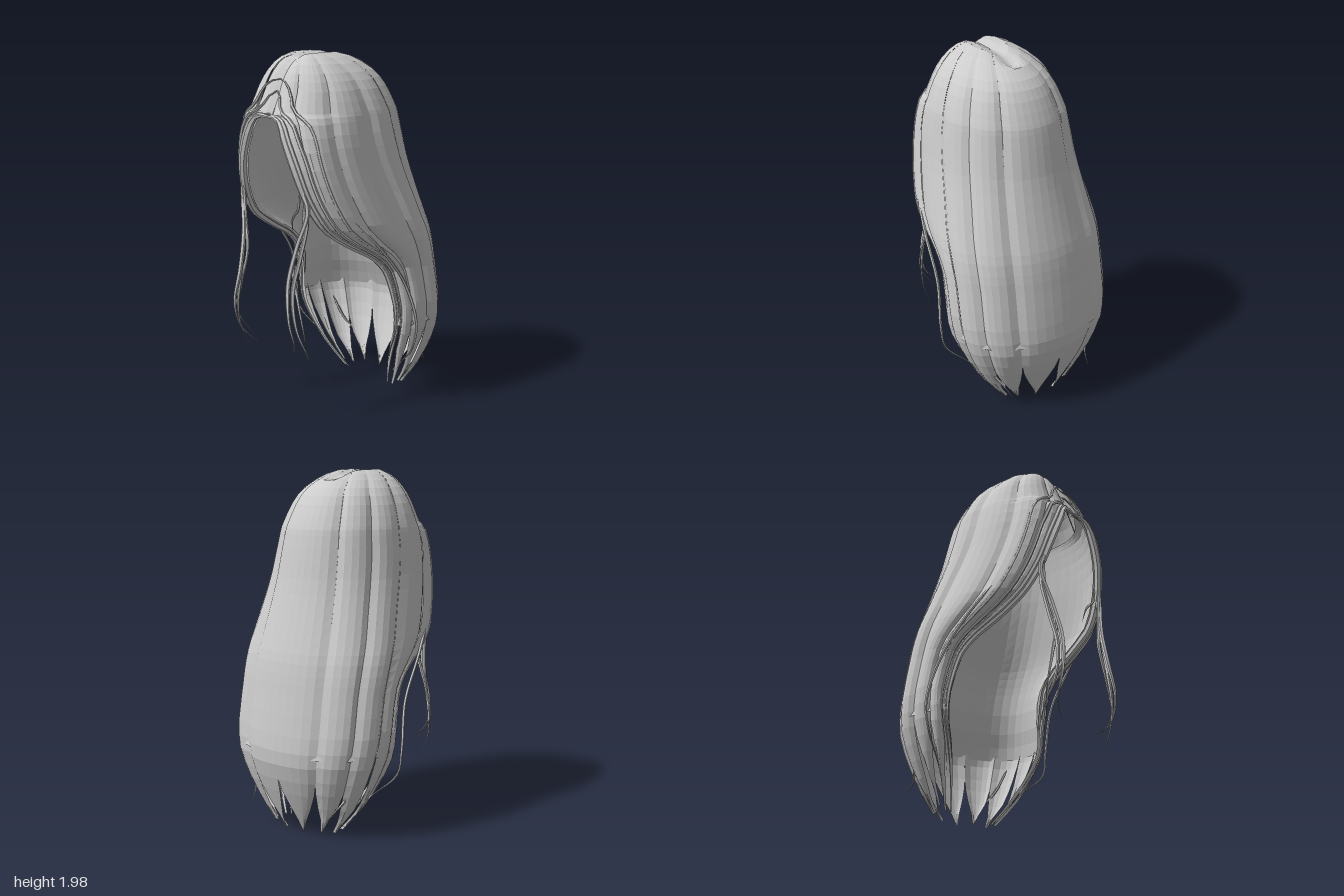
import * as THREE from 'three';

// Horizontal half-sections from crown to tips: y, front edge x, front edge z, half width, z at the widest point, back z
const SECTIONS = [
  [2.0, 0, 0.27, 0, 0.22, 0.14],
  [1.995, 0, 0.3, 0.085, 0.2, 0.03],
  [1.95, 0, 0.36, 0.185, 0.17, -0.09],
  [1.88, 0, 0.41, 0.262, 0.13, -0.2],
  [1.8, 0, 0.445, 0.312, 0.11, -0.26],
  [1.7, 0, 0.49, 0.35, 0.09, -0.31],
  [1.66, 0.09, 0.505, 0.36, 0.08, -0.325],
  [1.55, 0.15, 0.515, 0.38, 0.07, -0.35],
  [1.4, 0.21, 0.5, 0.402, 0.03, -0.38],
  [1.25, 0.25, 0.46, 0.43, -0.03, -0.42],
  [1.1, 0.29, 0.38, 0.46, -0.09, -0.465],
  [1.0, 0.31, 0.25, 0.475, -0.14, -0.495],
  [0.9, 0.34, 0.08, 0.48, -0.18, -0.515],
  [0.8, 0.37, -0.01, 0.48, -0.21, -0.53],
  [0.6, 0.4, -0.06, 0.485, -0.25, -0.56],
  [0.45, 0.4, -0.07, 0.465, -0.27, -0.57],
  [0.3, 0.33, -0.1, 0.41, -0.28, -0.53],
  [0.15, 0.25, -0.16, 0.33, -0.28, -0.47],
  [0.01, 0.17, -0.24, 0.22, -0.29, -0.41],
];
const LAST = SECTIONS.length - 1;
const edgeCurve = new THREE.CatmullRomCurve3(
  SECTIONS.map(([y, x, z]) => new THREE.Vector3(x, y, z)), false, 'catmullrom', 0.4);
const girthCurve = new THREE.CatmullRomCurve3(
  SECTIONS.map((s) => new THREE.Vector3(s[3], s[4], s[5])), false, 'catmullrom', 0.4);

// Point on the left half: u runs from face edge to back centre, v from crown to tips
function surface(u, v, lift = 0) {
  const e = edgeCurve.getPoint(v / LAST), g = girthCurve.getPoint(v / LAST);
  const front = u < 0.45;
  const a = (front ? u / 0.45 : (u - 0.45) / 0.55) * Math.PI / 2;
  const s = Math.max(0, Math.sin(a)), c = Math.max(0, Math.cos(a));
  let x, z;
  if (front) {
    x = e.x + (g.x - e.x) * s ** 0.85;
    z = g.y + (e.z - g.y) * c ** 0.85;
  } else {
    x = g.x * c;
    z = g.y + (g.z - g.y) * s;
  }
  // centre parting dip
  const parting = e.y > 1.6 && z > -0.1 ? 0.035 * Math.exp(-((x / 0.05) ** 2)) : 0;
  const r = Math.hypot(x, z - g.y) || 1;
  const out = lift * Math.min(1, v / 4) / r;
  return new THREE.Vector3(Math.max(0, x + x * out), e.y - parting, z + (z - g.y) * out);
}

const hairMat = new THREE.MeshStandardMaterial({
  color: 0xcccccc, flatShading: true, side: THREE.DoubleSide });

// Grid of points from pointAt(i / rows, j / cols), mirrored by side
function sheetGeometry(rows, cols, side, pointAt) {
  const pos = [], idx = [];
  for (let i = 0; i <= rows; i++) {
    for (let j = 0; j <= cols; j++) {
      const p = pointAt(i / rows, j / cols);
      pos.push(p.x * side, p.y, p.z);
      if (i === rows || j === cols) continue;
      const a = i * (cols + 1) + j, b = a + cols + 1;
      if (side > 0) idx.push(a, b, b + 1, a, b + 1, a + 1);
      else idx.push(a, b + 1, b, a, a + 1, b + 1);
    }
  }
  const geo = new THREE.BufferGeometry();
  geo.setAttribute('position', new THREE.Float32BufferAttribute(pos, 3));
  geo.setIndex(idx);
  geo.computeVertexNormals();
  return geo;
}

// Broad lock with a rounded cross-section, tapering to a point
function lockGeometry({ from, to, taper, end, puff, lift }, side) {
  return sheetGeometry(32, 5, side, (t, s) => {
    const v = end * t;
    const width = 1 - Math.max(0, (v - taper) / (end - taper)) ** 1.3;
    const u = (from + to) / 2 + (s - 0.5) * (to - from) * width;
    const round = to === 1 && s > 0.5 ? 1 : Math.max(0, Math.sin(Math.PI * s)) ** 0.6;
    return surface(u, v, lift + puff * (round - 0.7));
  });
}

// Inner side of the hair: leaves the face edge, runs round the back and closes on the outer hair below
function liningGeometry(side) {
  return sheetGeometry(20, 18, side, (t, s) => {
    const v = 5 + 9.8 * t;
    const depth = 0.055 * Math.min(1, s / 0.1) * Math.min(1, (1 - t) * 8);
    return surface(s, v, -0.005 - depth);
  });
}

// Thin strand: a tube narrowed towards both ends
function strandGeometry(points, radius, side) {
  const curve = new THREE.CatmullRomCurve3(
    points.map((p) => new THREE.Vector3(p.x * side, p.y, p.z)));
  const n = 36, sides = 5;
  const geo = new THREE.TubeGeometry(curve, n, radius, sides);
  const pos = geo.attributes.position, p = new THREE.Vector3();
  for (let i = 0; i <= n; i++) {
    const t = i / n, centre = curve.getPointAt(t);
    const k = Math.min(1, 0.35 + t * 6) * Math.min(1, (1 - t) * 2.2 + 0.02);
    for (let j = 0; j <= sides; j++) {
      const q = i * (sides + 1) + j;
      p.fromBufferAttribute(pos, q).sub(centre).multiplyScalar(k).add(centre);
      pos.setXYZ(q, p.x, p.y, p.z);
    }
  }
  geo.computeVertexNormals();
  return geo;
}

const LOCKS = [
  { name: 'faceFramingLock', from: 0, to: 0.12, taper: 15, end: 18, puff: 0.014, lift: -0.012 },
  { name: 'templeLock', from: 0.12, to: 0.29, taper: 15, end: 18, puff: 0.022, lift: 0.004 },
  { name: 'sideLock', from: 0.29, to: 0.45, taper: 15.2, end: 17.8, puff: 0.02, lift: 0 },
  { name: 'rearSideLock', from: 0.45, to: 0.63, taper: 16.6, end: 18, puff: 0.022, lift: 0 },
  { name: 'outerBackLock', from: 0.63, to: 0.8, taper: 16.4, end: 17.9, puff: 0.022, lift: 0 },
  { name: 'centreBackLock', from: 0.8, to: 1, taper: 16, end: 18, puff: 0.018, lift: 0 },
];

// Strands that leave the parting and arch along the hairline: u, first v, last v, radius, lift
const SURFACE_STRANDS = [
  ['faceEdgeStrand', 0.012, 5, 16.5, 0.02, 0],
  ['faceEdgeStrand', 0.05, 4.8, 15, 0.013, 0],
  ['hairlineStrand', 0.12, 3.6, 16.8, 0.011, 0],
  ['templeStrand', 0.2, 2.8, 16, 0.009, 0.006],
];

// Loose hanging wisps
const WISPS = [
  ['frontWisp', 0.013, [[0.24, 1.35, 0.49], [0.28, 1.2, 0.465], [0.23, 1, 0.5], [0.21, 0.8, 0.545], [0.24, 0.6, 0.567], [0.24, 0.45, 0.53], [0.14, 0.36, 0.48]]],
  ['frontWisp', 0.012, [[0.25, 1.32, 0.48], [0.27, 1.15, 0.46], [0.25, 0.95, 0.49], [0.23, 0.75, 0.53], [0.26, 0.55, 0.53], [0.29, 0.4, 0.48], [0.27, 0.27, 0.425]]],
  ['frontWisp', 0.01, [[0.26, 1.3, 0.47], [0.25, 1.1, 0.47], [0.2, 0.9, 0.5], [0.25, 0.7, 0.51], [0.29, 0.5, 0.5], [0.22, 0.37, 0.44]]],
  ['sideWisp', 0.009, [[0.39, 1.2, 0.33], [0.46, 0.98, 0.12], [0.49, 0.75, -0.05], [0.52, 0.5, -0.12], [0.49, 0.35, -0.12], [0.36, 0.22, -0.17], [0.24, 0.08, -0.23]]],
  ['tipWisp', 0.008, [[0.4, 0.4, -0.32], [0.34, 0.26, -0.36], [0.29, 0.17, -0.42], [0.27, 0.12, -0.48]]],
];

export function createModel() {
  const hair = new THREE.Group();
  hair.name = 'longHair';
  const vectors = (path) => path.map((p) => new THREE.Vector3(...p));
  for (const side of [1, -1]) {
    const half = new THREE.Group();
    half.name = side > 0 ? 'leftHalf' : 'rightHalf';
    const add = (name, geo) => {
      const mesh = new THREE.Mesh(geo, hairMat);
      mesh.name = name;
      half.add(mesh);
    };
    for (const lock of LOCKS) add(lock.name, lockGeometry(lock, side));
    add('innerLining', liningGeometry(side));
    for (const [name, u, v0, v1, radius, lift] of SURFACE_STRANDS) {
      const points = Array.from({ length: 21 }, (_, i) =>
        surface(u * Math.min(1, i / 6) ** 0.7, v0 + (v1 - v0) * i / 20, lift));
      add(name, strandGeometry(points, radius, side));
    }
    for (const [name, radius, path] of WISPS) add(name, strandGeometry(vectors(path), radius, side));
    hair.add(half);
  }
  // Single stray curl beside the face
  const curl = [[0.22, 1.28, 0.47], [0.21, 1.2, 0.47], [0.15, 1.13, 0.46], [0.13, 1.04, 0.44]];
  const stray = new THREE.Mesh(strandGeometry(vectors(curl), 0.007, 1), hairMat);
  stray.name = 'strayCurl';
  hair.add(stray);
  return hair;
}
